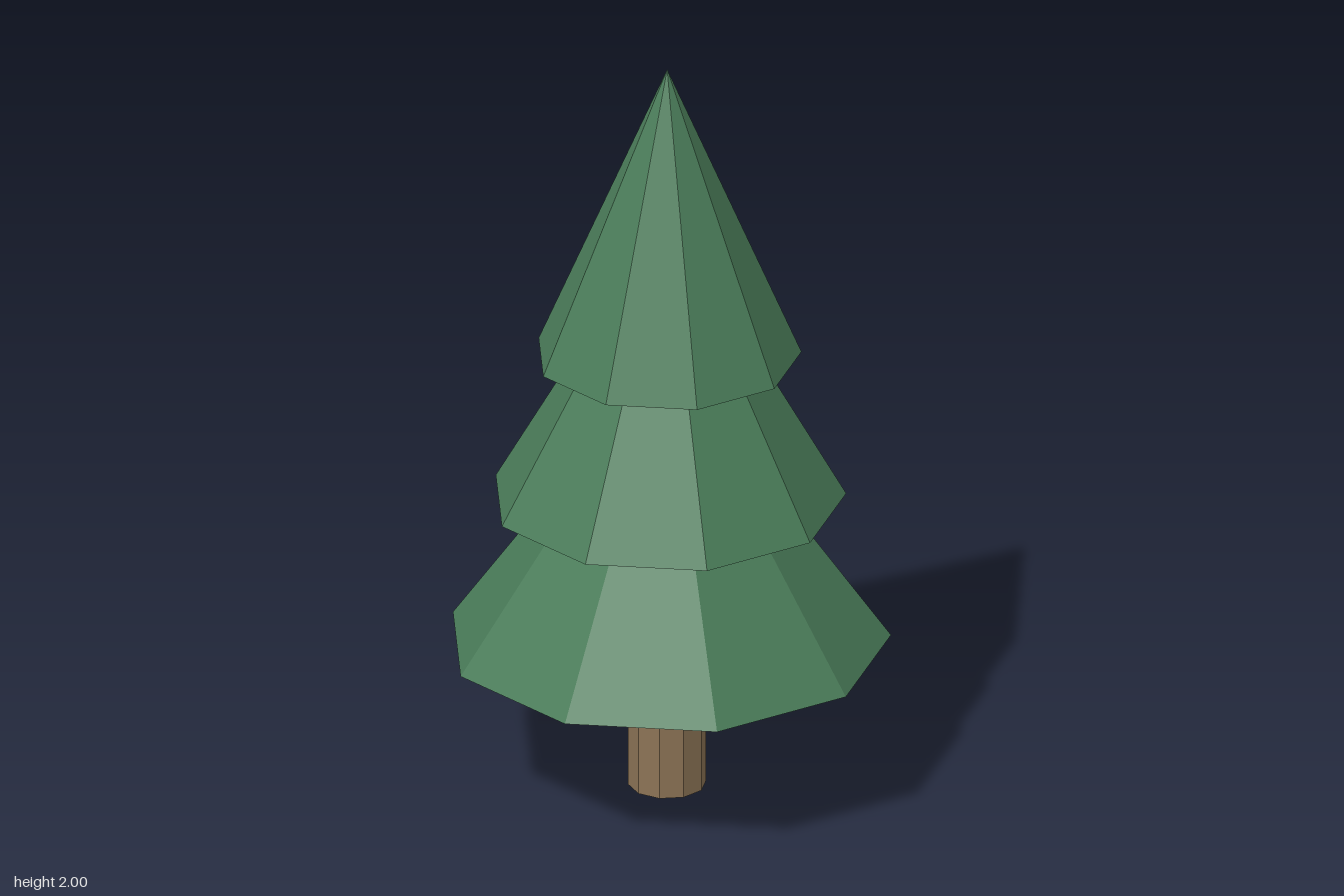
import * as THREE from 'three';

export function createModel() {
  const tree = new THREE.Group();
  tree.name = 'pineTree';

  const foliage = new THREE.MeshStandardMaterial({ color: 0x4a7c59, flatShading: true });
  foliage.name = 'foliageGreen';
  const bark = new THREE.MeshStandardMaterial({ color: 0x8b7355, flatShading: true });
  bark.name = 'barkBrown';

  // Centres the nine-sided outline, which has a corner at +x and a flat at -x
  const axisX = -0.017;

  const add = (name, geometry, material, y) => {
    const mesh = new THREE.Mesh(geometry, material);
    mesh.name = name;
    mesh.position.set(axisX, y, 0);
    tree.add(mesh);
  };

  // Ten-sided trunk
  add('trunk', new THREE.CylinderGeometry(0.1, 0.1, 0.4, 10, 1, false, Math.PI / 2), bark, 0.2);

  // Three overlapping nine-sided cones, each 0.8 tall
  const tiers = [
    ['lowerBranches', 0.57, 0.4],
    ['middleBranches', 0.456, 0.8],
    ['topBranches', 0.342, 1.2],
  ];
  for (const [name, radius, base] of tiers) {
    add(name, new THREE.ConeGeometry(radius, 0.8, 9, 1, false, Math.PI / 2), foliage, base + 0.4);
  }

  return tree;
}
